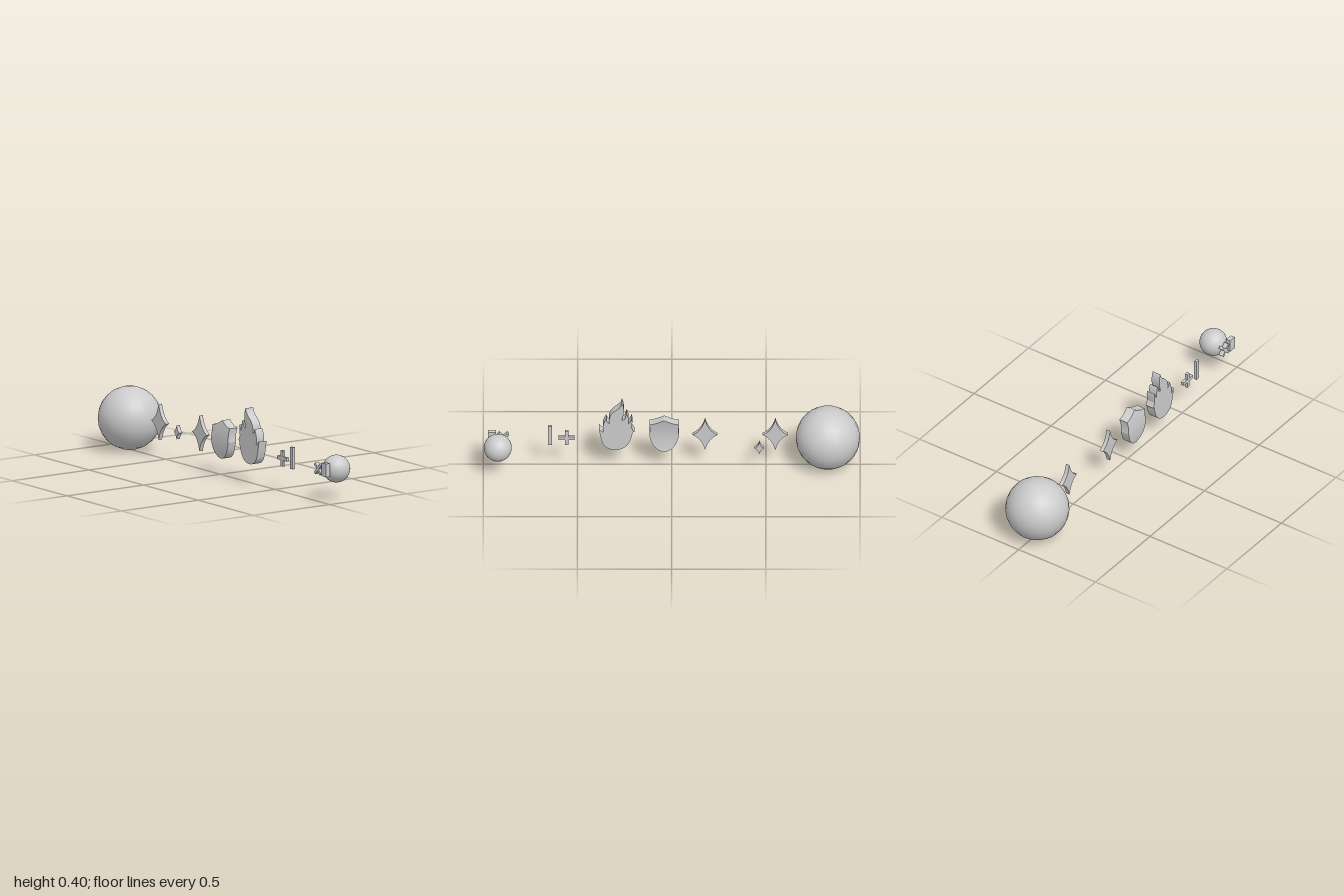
import * as THREE from 'three';

const material = new THREE.MeshStandardMaterial({ color: 0xcccccc });

export function createModel() {
  const model = new THREE.Group();

  const add = (name, geometry, x, y, z, parent = model) => {
    const mesh = new THREE.Mesh(geometry, material);
    mesh.name = name;
    mesh.position.set(x, y, z);
    parent.add(mesh);
    return mesh;
  };

  // Extrude a shape, centred on its own z = 0
  const slab = (shape, depth) =>
    new THREE.ExtrudeGeometry(shape, { depth, bevelEnabled: false, curveSegments: 8 }).translate(0, 0, -depth / 2);

  // Balls
  add('largeBall', new THREE.SphereGeometry(0.171, 24, 12), -0.829, 0.172, 0);
  add('smallBall', new THREE.SphereGeometry(0.074, 32, 16), 0.923, 0.172, -0.098);

  // Four-pointed sparkles with concave sides
  const sparkle = (w, h) => {
    const s = new THREE.Shape();
    const k = 0.25;
    s.moveTo(0, h);
    s.quadraticCurveTo(-w * k, h * k, -w, 0);
    s.quadraticCurveTo(-w * k, -h * k, 0, -h);
    s.quadraticCurveTo(w * k, -h * k, w, 0);
    s.quadraticCurveTo(w * k, h * k, 0, h);
    return slab(s, 0.022);
  };
  add('sparkle', sparkle(0.067, 0.097), -0.55, 0.195, 0);
  add('smallSparkle', sparkle(0.025, 0.038), -0.465, 0.147, -0.056);
  add('singleSparkle', sparkle(0.067, 0.097), -0.177, 0.195, 0);

  // Shield: a fine box shaped to the outline and bowed forward at mid height
  const shield = new THREE.BoxGeometry(2, 1, 0.05, 20, 12, 1);
  const p = shield.attributes.position;
  for (let i = 0; i < p.count; i++) {
    const u = p.getX(i), v = p.getY(i) + 0.5, a = Math.abs(u);
    const top = 0.302 - 0.032 * (1 - (1 - a) ** 1.6);
    const bottom = 0.095 + 0.05 * a ** 1.6 + 0.05 * a ** 6;
    const y = bottom + (top - bottom) * v;
    const waist = 1 - 0.04 * Math.sin(Math.PI * v) * a;
    p.setXYZ(i, u * 0.079 * waist, y, p.getZ(i) + 0.009 - 1.25 * (y - 0.18) ** 2);
  }
  shield.computeVertexNormals();
  add('shield', shield, 0.04, 0, 0);

  // Flame: rounded base with curved tongues; each row is control x, y, end x, y
  const flame = new THREE.Shape();
  flame.moveTo(0, 0.108);
  [
    [0.045, 0.108, 0.066, 0.14],
    [0.08, 0.165, 0.092, 0.243],
    [0.08, 0.225, 0.067, 0.222],
    [0.078, 0.265, 0.052, 0.305],
    [0.052, 0.288, 0.036, 0.275],
    [0.045, 0.33, 0.0, 0.36],
    [-0.028, 0.38, -0.03, 0.405],
    [-0.052, 0.365, -0.03, 0.3],
    [-0.036, 0.292, -0.046, 0.305],
    [-0.05, 0.32, -0.056, 0.337],
    [-0.068, 0.315, -0.066, 0.275],
    [-0.075, 0.285, -0.084, 0.308],
    [-0.088, 0.28, -0.082, 0.25],
    [-0.09, 0.23, -0.097, 0.222],
    [-0.088, 0.228, -0.086, 0.21],
    [-0.07, 0.112, 0, 0.108],
  ].forEach((c) => flame.quadraticCurveTo(...c));
  add('flame', slab(flame, 0.05), 0.295, 0, 0);

  // Crossed bars, upright or turned to a diagonal cross
  const crossedBars = (name, length, width, depth, x, y, z, turn) => {
    const group = new THREE.Group();
    group.name = name;
    const half = length / 2, t = width / 2;
    const s = new THREE.Shape([
      [t, t], [t, half], [-t, half], [-t, t], [-half, t], [-half, -t],
      [-t, -t], [-t, -half], [t, -half], [t, -t], [half, -t], [half, t],
    ].map(([a, b]) => new THREE.Vector2(a, b)));
    add(name + 'Bars', slab(s, depth), 0, 0, 0, group).rotation.z = turn;
    group.position.set(x, y, z);
    model.add(group);
  };
  crossedBars('plus', 0.085, 0.019, 0.016, 0.558, 0.178, -0.01, 0);
  crossedBars('diagonalCross', 0.074, 0.015, 0.026, 0.894, 0.177, -0.008, Math.PI / 4);

  // Plain bars beside the crosses
  add('tallBar', new THREE.BoxGeometry(0.022, 0.118, 0.016), 0.646, 0.194, -0.01);
  add('shortBar', new THREE.BoxGeometry(0.042, 0.072, 0.026), 0.953, 0.181, -0.008);

  return model;
}
